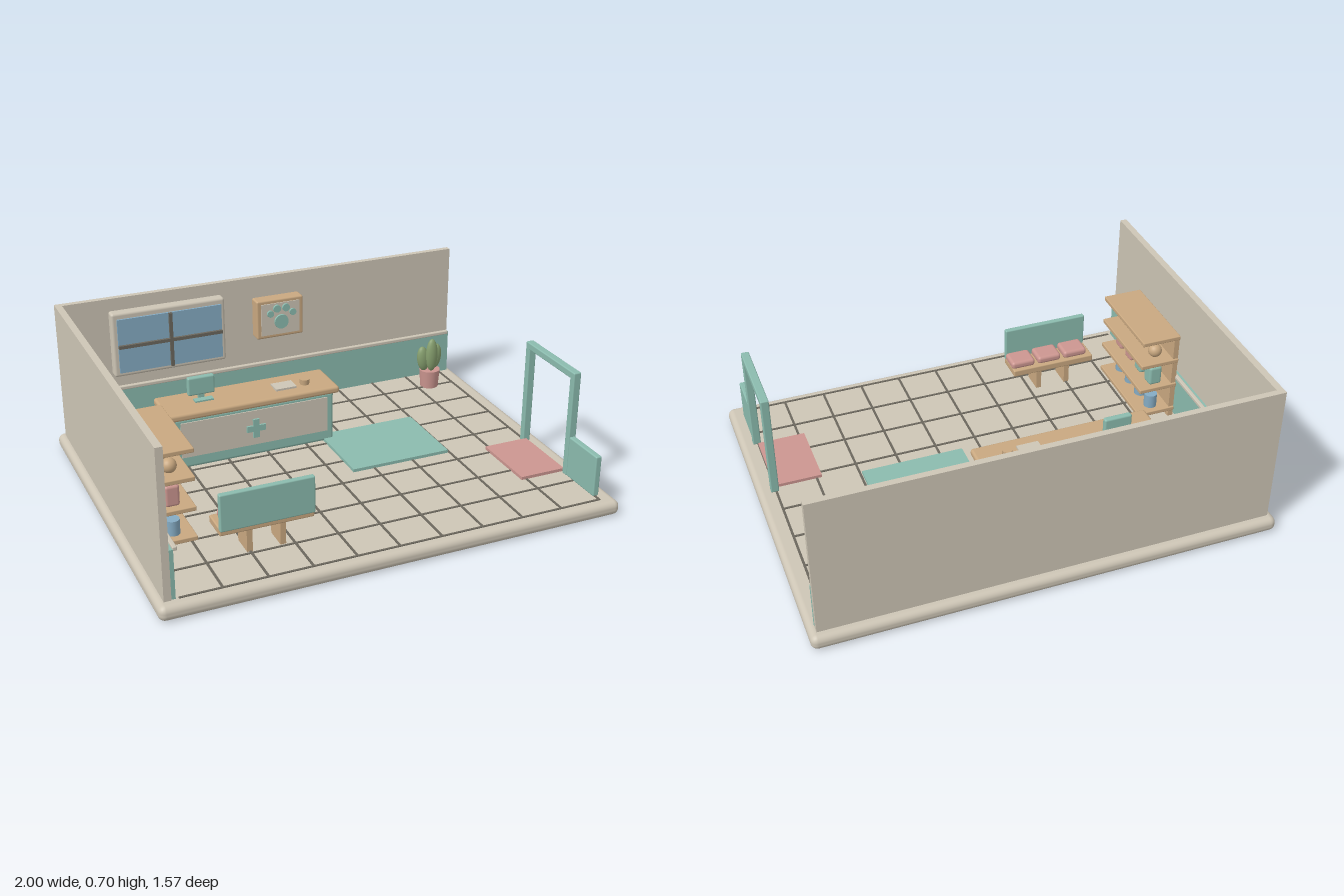
import * as THREE from 'three';
import { RoundedBoxGeometry } from 'three/addons/geometries/RoundedBoxGeometry.js';

const mat = (name, color) => new THREE.MeshStandardMaterial({ name, color });

export function createModel() {
  const cream = mat('cream', 0xcdc5b5), teal = mat('teal', 0x8bbbae), wood = mat('wood', 0xc9a880);
  const pink = mat('pink', 0xcc9690), blue = mat('blue', 0x85abc3), green = mat('green', 0x87a06f);
  const grey = mat('grout grey', 0x6b675d);
  const root = new THREE.Group();
  root.name = 'clinicRoom';
  const FLOOR = 0.065;

  const group = (name) => {
    const g = new THREE.Group();
    g.name = name;
    root.add(g);
    return g;
  };
  const add = (parent, name, geo, material, x, y, z) => {
    const m = new THREE.Mesh(geo, material);
    m.name = name;
    m.position.set(x, y, z);
    parent.add(m);
    return m;
  };
  // box given by its limits on each axis, with optional rounded edges
  const box = (parent, name, material, x0, x1, y0, y1, z0, z1, r = 0) => {
    const s = [x1 - x0, y1 - y0, z1 - z0];
    const geo = r ? new RoundedBoxGeometry(...s, 3, r) : new THREE.BoxGeometry(...s);
    return add(parent, name, geo, material, (x0 + x1) / 2, (y0 + y1) / 2, (z0 + z1) / 2);
  };

  // base slab and walls
  box(root, 'base', cream, -1, 1, 0, FLOOR, -0.783, 0.783, 0.028);
  const walls = group('walls');
  box(walls, 'backWall', cream, -0.97, 0.97, 0.06, 0.7, -0.745, -0.718);
  box(walls, 'leftWall', cream, -0.97, -0.94, 0.06, 0.7, -0.718, 0.74);
  box(walls, 'backWainscot', teal, -0.94, 0.97, 0.06, 0.275, -0.718, -0.7);
  box(walls, 'leftWainscot', teal, -0.94, -0.922, 0.06, 0.275, -0.7, 0.735);
  box(walls, 'backRail', cream, -0.94, 0.96, 0.268, 0.285, -0.702, -0.682, 0.004);
  box(walls, 'leftRail', cream, -0.924, -0.906, 0.268, 0.285, -0.7, 0.735, 0.004);

  // floor tile joints
  const joints = group('tileJoints');
  for (let i = -4; i <= 5; i++) {
    const x = i * 0.1845;
    box(joints, 'joint', grey, x - 0.005, x + 0.005, 0.06, 0.068, -0.7, 0.737);
  }
  for (let i = -3; i <= 4; i++) {
    const z = i * 0.1845 - 0.004;
    box(joints, 'joint', grey, -0.91, 0.925, 0.06, 0.068, z - 0.005, z + 0.005);
  }

  // window
  const win = group('window');
  box(win, 'windowFrame', cream, -0.74, -0.21, 0.34, 0.645, -0.72, -0.667, 0.012);
  box(win, 'glass', blue, -0.717, -0.23, 0.362, 0.618, -0.667, -0.658);
  box(win, 'verticalBar', grey, -0.481, -0.466, 0.362, 0.618, -0.66, -0.645);
  box(win, 'horizontalBar', grey, -0.717, -0.23, 0.482, 0.497, -0.66, -0.645);

  // framed paw picture
  const picture = group('pawPicture');
  box(picture, 'pictureFrame', wood, -0.06, 0.17, 0.415, 0.603, -0.72, -0.655, 0.008);
  box(picture, 'pictureCard', cream, -0.04, 0.15, 0.432, 0.586, -0.657, -0.65);
  const pads = [[0.057, 0.495, 0.034], [0.003, 0.539, 0.016], [0.036, 0.561, 0.018], [0.08, 0.561, 0.018], [0.114, 0.535, 0.016]];
  for (const [x, y, r] of pads) {
    add(picture, 'pawPad', new THREE.CylinderGeometry(r, r, 0.012, 24), teal, x, y, -0.645).rotation.x = Math.PI / 2;
  }

  // reception counter
  const counter = group('counter');
  box(counter, 'counterBody', teal, -0.62, 0.133, FLOOR, 0.305, -0.405, -0.215, 0.015);
  box(counter, 'counterTop', wood, -0.64, 0.157, 0.297, 0.33, -0.422, -0.205, 0.012);
  box(counter, 'frontPanel', cream, -0.585, 0.1, 0.12, 0.285, -0.216, -0.21);
  box(counter, 'crossUpright', teal, -0.257, -0.229, 0.158, 0.246, -0.212, -0.2);
  box(counter, 'crossBar', teal, -0.287, -0.199, 0.188, 0.216, -0.212, -0.2);
  box(counter, 'screen', teal, -0.508, -0.385, 0.35, 0.435, -0.353, -0.326, 0.008);
  box(counter, 'screenStand', teal, -0.46, -0.433, 0.328, 0.36, -0.347, -0.333);
  box(counter, 'keyboard', teal, -0.487, -0.402, 0.328, 0.337, -0.328, -0.296);
  box(counter, 'notepad', cream, -0.122, -0.025, 0.328, 0.339, -0.335, -0.266);
  add(counter, 'cup', new THREE.CylinderGeometry(0.023, 0.021, 0.026, 20), wood, 0.025, 0.342, -0.295);

  // floor mats
  box(root, 'tealMat', teal, 0.085, 0.545, 0.062, 0.079, -0.262, 0.107);
  box(root, 'pinkMat', pink, 0.715, 0.925, 0.062, 0.079, 0.145, 0.458);

  // doorway with low side panel
  const door = group('doorway');
  box(door, 'doorPost', teal, 0.91, 0.945, FLOOR, 0.545, 0.115, 0.146, 0.005);
  box(door, 'doorPost', teal, 0.91, 0.945, FLOOR, 0.545, 0.468, 0.499, 0.005);
  box(door, 'doorLintel', teal, 0.91, 0.945, 0.513, 0.545, 0.115, 0.499, 0.005);
  box(door, 'sidePanel', teal, 0.912, 0.94, FLOOR, 0.25, 0.497, 0.703, 0.006);

  // display shelf with goods
  const shelf = group('displayShelf');
  box(shelf, 'shelfBack', wood, -0.91, -0.886, FLOOR, 0.495, 0.02, 0.43);
  for (const y of [0.11, 0.242, 0.373, 0.495]) {
    box(shelf, 'shelfBoard', wood, -0.91, -0.73, y - 0.01, y + 0.01, 0.012, 0.43, 0.004);
  }
  [0.37, 0.268, 0.166, 0.065].forEach((z, i) => {
    add(shelf, 'ball', new THREE.SphereGeometry(0.031, 24, 16), wood, -0.815, 0.42, z);
    box(shelf, 'foodBag', i < 2 ? pink : teal, -0.845, -0.785, 0.252, 0.344, z - 0.031, z + 0.031, 0.012);
    add(shelf, 'can', new THREE.CylinderGeometry(0.029, 0.029, 0.065, 24), blue, -0.813, 0.152, z);
  });

  // waiting bench, facing the counter
  const bench = group('bench');
  box(bench, 'benchSeat', wood, -0.68, -0.285, 0.165, 0.198, 0.42, 0.545, 0.006);
  box(bench, 'benchBack', teal, -0.68, -0.285, 0.188, 0.35, 0.531, 0.556, 0.006);
  for (const x of [-0.555, -0.415]) {
    box(bench, 'benchLeg', wood, x - 0.012, x + 0.012, FLOOR, 0.17, 0.435, 0.535);
  }
  for (let i = 0; i < 3; i++) {
    const x = -0.598 + i * 0.13;
    box(bench, 'cushion', pink, x - 0.057, x + 0.057, 0.196, 0.232, 0.434, 0.532, 0.014);
  }

  // potted plants
  for (const x of [-0.81, 0.803]) {
    const plant = group('plant');
    plant.position.set(x, 0, -0.57);
    add(plant, 'pot', new THREE.CylinderGeometry(0.05, 0.043, 0.088, 24), pink, 0, 0.109, 0);
    for (const [lx, ly, lz, h, tilt] of [[0, 0.233, 0.018, 0.083, 0], [-0.035, 0.21, -0.005, 0.064, 0.12], [0.035, 0.21, -0.012, 0.064, -0.12]]) {
      const leaf = add(plant, 'leaf', new THREE.SphereGeometry(1, 20, 14), green, lx, ly, lz);
      leaf.scale.set(0.03, h, 0.023);
      leaf.rotation.z = tilt;
    }
  }
  return root;
}
